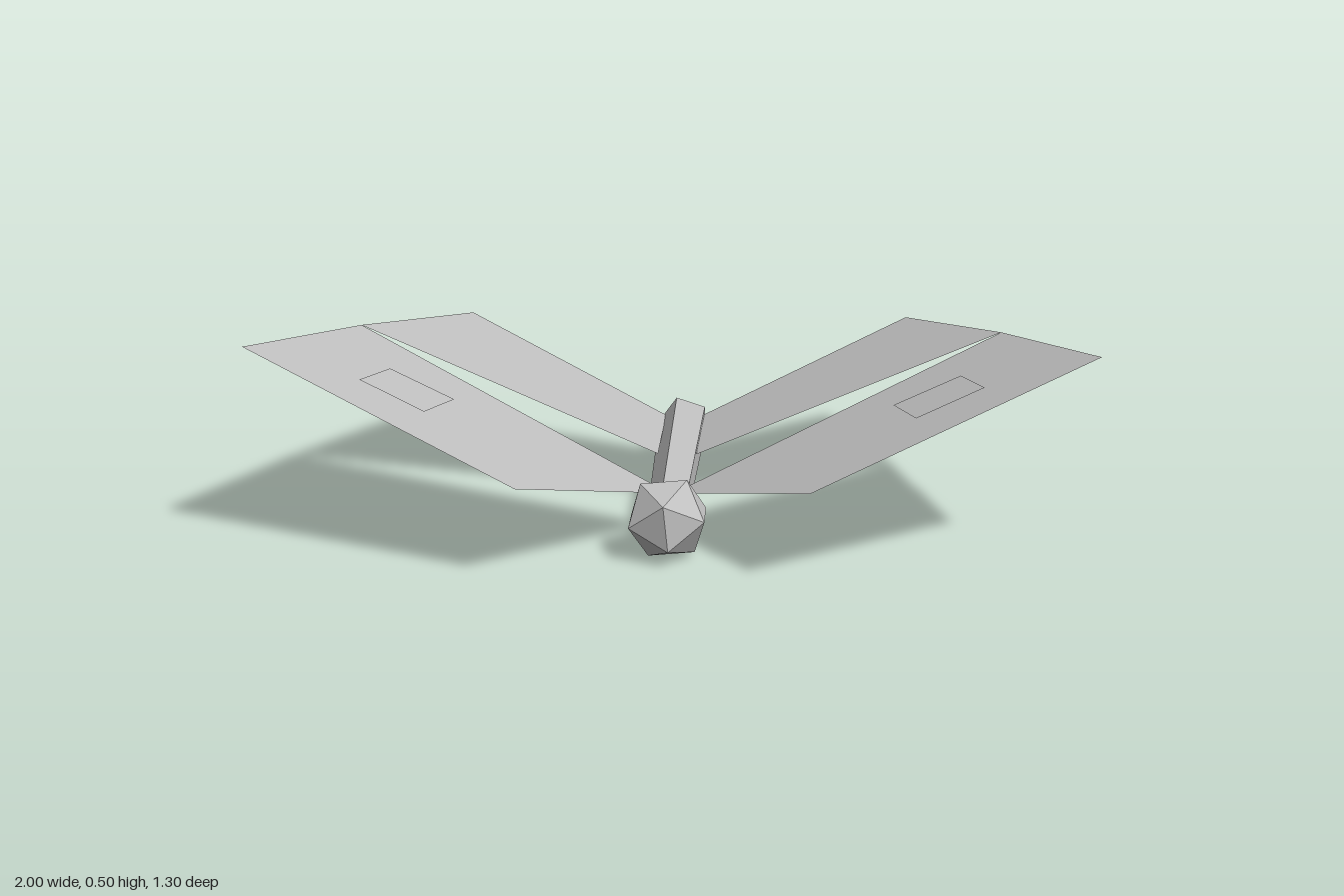
import * as THREE from 'three';

export function createModel() {
  const model = new THREE.Group();
  model.name = 'butterfly';
  const grey = new THREE.MeshStandardMaterial({ color: 0xc0c0c0, flatShading: true, side: THREE.DoubleSide });
  grey.name = 'plain grey';

  const add = (name, geometry) => {
    const mesh = new THREE.Mesh(geometry, grey);
    mesh.name = name;
    model.add(mesh);
    return mesh;
  };

  // Five-sided body, tapering towards the head
  const body = new THREE.CylinderGeometry(0.05, 0.07, 0.86, 5, 1, false, -Math.PI / 2);
  body.rotateX(Math.PI / 2);
  add('body', body).position.set(0, 0.095, 0);

  // Faceted head
  const head = add('head', new THREE.IcosahedronGeometry(0.106, 0));
  head.position.set(0, 0.0955, 0.425);
  head.rotation.z = 0.1;

  // Flat panel from [x, z] outline points, rising outwards like a raised wing
  const panel = (points, side, lift = 0) => {
    const shape = new THREE.Shape(points.map(([x, z]) => new THREE.Vector2(x * side, -z)));
    const geometry = new THREE.ShapeGeometry(shape).rotateX(-Math.PI / 2);
    const pos = geometry.attributes.position;
    for (let i = 0; i < pos.count; i++) pos.setY(i, 0.098 + 0.402 * Math.abs(pos.getX(i)) + lift);
    geometry.computeVertexNormals();
    return geometry;
  };

  const foreWing = [[0.045, 0.23], [0.83, -0.115], [1, 0.42], [0.333, 0.645], [0.045, 0.295]];
  const hindWing = [[0.05, -0.405], [0.62, -0.655], [0.83, -0.115], [0.05, -0.03]];
  const spot = [[0.54, 0.195], [0.705, 0.155], [0.745, 0.33], [0.583, 0.375]];

  // Wings with a square spot on top of each fore wing
  for (const [label, side] of [['left', 1], ['right', -1]]) {
    add(label + 'ForeWing', panel(foreWing, side));
    add(label + 'HindWing', panel(hindWing, side));
    add(label + 'WingSpot', panel(spot, side, 0.003));
  }
  return model;
}
